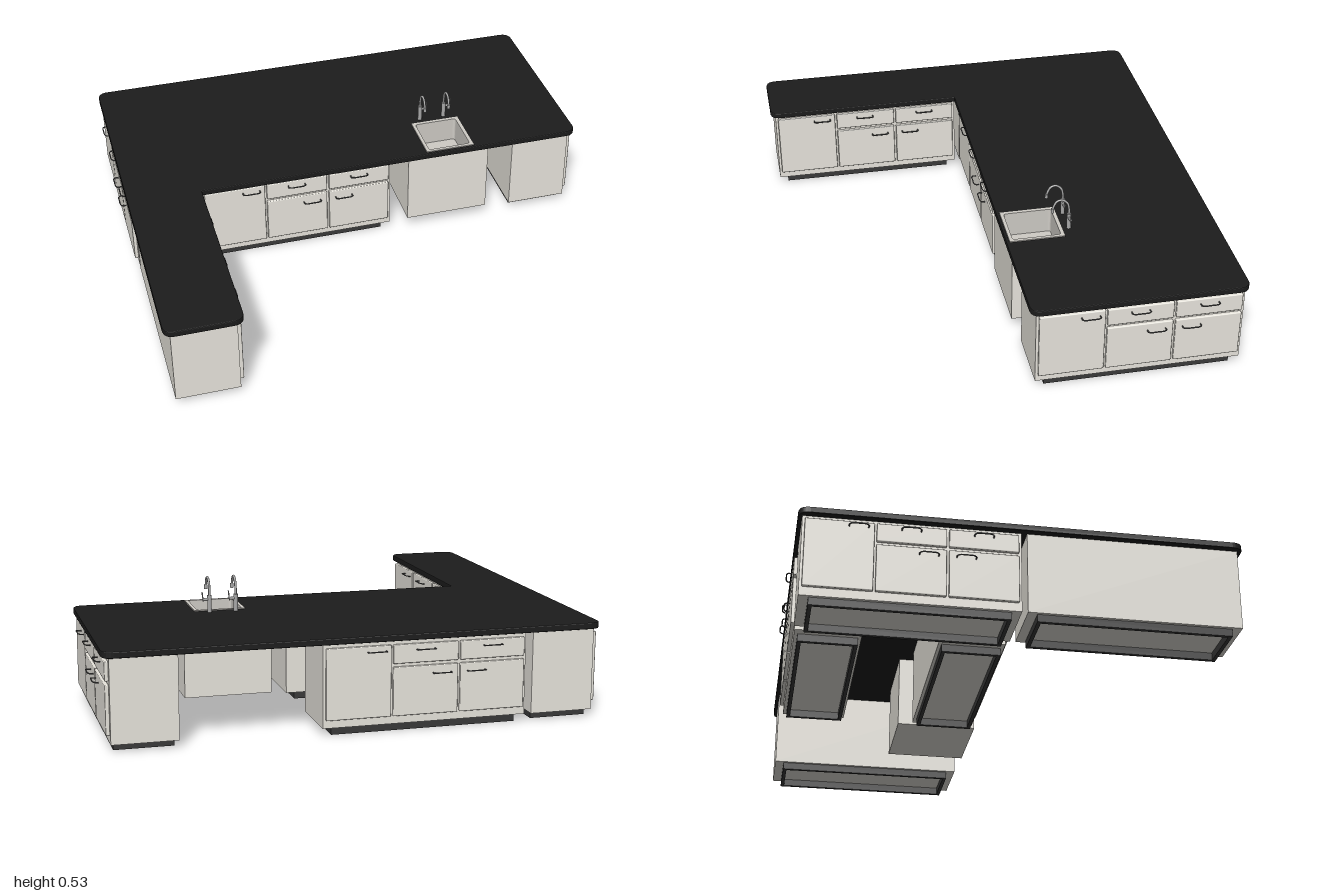
import * as THREE from 'three';
import { RoundedBoxGeometry } from 'three/addons/geometries/RoundedBoxGeometry.js';

const mat = (color) => new THREE.MeshStandardMaterial({ color });
const BODY = mat(0xe9e6de), DARK = mat(0x1c1c1c), KICK = mat(0x3a3a3a);
const METAL = mat(0x555555), CHROME = mat(0xa8a8a8), STEEL = mat(0xcfccc6);

function add(parent, name, geometry, material, x = 0, y = 0, z = 0) {
  const mesh = new THREE.Mesh(geometry, material);
  mesh.name = name;
  mesh.position.set(x, y, z);
  parent.add(mesh);
  return mesh;
}

// Closed outline through [x, z] corners, each rounded by its own radius
function outline(corners, Type = THREE.Shape) {
  const path = new Type();
  const pts = corners.map(([x, z]) => new THREE.Vector2(x, -z));
  const n = pts.length;
  pts.forEach((p, i) => {
    const r = corners[i][2] || 0;
    const toward = (q) => p.clone().add(q.clone().sub(p).setLength(r));
    const a = toward(pts[(i + n - 1) % n]), b = toward(pts[(i + 1) % n]);
    if (i === 0) path.moveTo(a.x, a.y);
    else path.lineTo(a.x, a.y);
    if (r) path.quadraticCurveTo(p.x, p.y, b.x, b.y);
  });
  path.closePath();
  return path;
}

const rect = (x0, x1, z0, z1, r = 0) => [[x0, z0, r], [x0, z1, r], [x1, z1, r], [x1, z0, r]];

// Horizontal slab between two heights
function slab(corners, hole, y0, y1, bevel = 0) {
  const shape = outline(corners);
  if (hole) shape.holes.push(outline(hole, THREE.Path));
  const geo = new THREE.ExtrudeGeometry(shape, {
    depth: y1 - y0 - 2 * bevel, curveSegments: 8, bevelEnabled: bevel > 0,
    bevelSize: bevel, bevelThickness: bevel, bevelOffset: -bevel, bevelSegments: 2,
  });
  return geo.rotateX(-Math.PI / 2).translate(0, y0 + bevel, 0);
}

// Bow handle shared by all doors and drawers
const handleGeo = new THREE.TubeGeometry(new THREE.CatmullRomCurve3([
  [-0.036, -0.002, 0], [-0.036, -0.001, 0.014], [-0.027, 0.0005, 0.021], [0, 0.001, 0.022],
  [0.027, 0.0005, 0.021], [0.036, -0.001, 0.014], [0.036, -0.002, 0],
].map((p) => new THREE.Vector3(...p))), 24, 0.0027, 6);

// Base cabinet: origin at the middle of its front edge, facing +z
const W = 0.825, D = 0.257, DOOR = 0.016;
function cabinet(name, x, z, turn) {
  const g = new THREE.Group();
  g.name = name;
  add(g, 'carcass', new THREE.BoxGeometry(W, 0.33, D), BODY, 0, 0.195, -D / 2);
  // hollow plinth frame
  const k = W / 2 - 0.037;
  add(g, 'toeKick', slab(rect(-k, k, 0.013 - D, -0.013),
    rect(0.015 - k, k - 0.015, 0.028 - D, -0.028), 0, 0.031), KICK);
  // front panels: left, right, bottom, top, handle x, handle y
  [
    ['tallDoor', 0.01, 0.269, 0.063, 0.345, 0.21, 0.325],
    ['drawer', 0.277, 0.54, 0.27, 0.345, 0.406, 0.325],
    ['drawer', 0.549, 0.814, 0.27, 0.345, 0.68, 0.325],
    ['door', 0.277, 0.54, 0.063, 0.257, 0.473, 0.228],
    ['door', 0.549, 0.814, 0.063, 0.257, 0.613, 0.228],
  ].forEach(([part, l, r, b, t, hx, hy]) => {
    add(g, part, new RoundedBoxGeometry(r - l, t - b, DOOR, 1, 0.004), BODY,
      (l + r) / 2 - W / 2, (b + t) / 2, DOOR / 2);
    add(g, 'handle', handleGeo, METAL, hx - W / 2, hy, DOOR);
  });
  g.position.set(x, 0, z);
  g.rotation.y = turn;
  return g;
}

// Gooseneck tap with a side lever
function tap(x, z) {
  const g = new THREE.Group();
  g.name = 'tap';
  const neck = new THREE.CurvePath();
  const V = (y, zz) => new THREE.Vector3(0, y, zz);
  neck.add(new THREE.LineCurve3(V(0, 0), V(0.09, 0)));
  neck.add(new THREE.CatmullRomCurve3([V(0.09, 0), V(0.118, 0.007), V(0.137, 0.03),
    V(0.132, 0.052), V(0.112, 0.064), V(0.088, 0.07)]));
  add(g, 'neck', new THREE.TubeGeometry(neck, 40, 0.005, 8), CHROME);
  add(g, 'spoutTip', new THREE.CylinderGeometry(0.007, 0.007, 0.018, 12), CHROME, 0, 0.092, 0.069);
  add(g, 'base', new THREE.CylinderGeometry(0.009, 0.009, 0.07, 16), CHROME, 0, 0.035, 0);
  add(g, 'leverArm', new THREE.CylinderGeometry(0.006, 0.006, 0.028, 10), CHROME, 0.014, 0.053, 0)
    .rotation.z = Math.PI / 2;
  add(g, 'lever', new THREE.CylinderGeometry(0.0025, 0.0025, 0.04, 8), CHROME, 0.028, 0.065, 0)
    .rotation.z = -0.12;
  g.position.set(x, 0.385, z);
  return g;
}

export function createModel() {
  const model = new THREE.Group();
  model.name = 'kitchenIsland';

  // L-shaped worktop with a cut-out for the sink
  const sink = rect(0.308, 0.52, -0.22, 0.006);
  const R = 0.045;
  add(model, 'worktop', slab([
    [-0.988, -0.845, R], [-0.988, 0.863, R], [-0.678, 0.863, R],
    [-0.678, 0.02], [0.988, 0.02, R], [0.988, -0.845, R],
  ], sink, 0.36, 0.386, 0.004), DARK);

  // Cabinets around the perimeter
  const q = Math.PI / 2;
  model.add(
    cabinet('frontCabinet', -0.263, -0.015, 0),
    cabinet('backCabinet', -0.263, -0.825, 2 * q),
    cabinet('rightEndCabinet', 0.961, -0.417, q),
    cabinet('leftEndCabinet', -0.961, -0.417, -q),
    cabinet('legCabinet', -0.705, 0.43, q),
  );

  // Sink housing under the worktop, open around the basin
  const housing = rect(0.225, 0.586, -0.325, 0.01);
  add(model, 'sinkHousing', slab(housing, sink, 0.06, 0.361), BODY);
  add(model, 'sinkHousingBottom', slab(housing, null, 0.052, 0.06), BODY);

  // Basin: rim, walls, floor and drain
  add(model, 'basinWalls', slab(sink, rect(0.322, 0.506, -0.206, -0.008, 0.012), 0.28, 0.388), STEEL);
  add(model, 'basinFloor', slab(sink, null, 0.272, 0.281), STEEL);
  add(model, 'drainRing', new THREE.TorusGeometry(0.02, 0.003, 8, 24).rotateX(-q), STEEL, 0.414, 0.282, -0.112);
  add(model, 'drain', new THREE.CylinderGeometry(0.012, 0.012, 0.004, 20), STEEL, 0.414, 0.282, -0.112);

  model.add(tap(0.355, -0.248), tap(0.464, -0.248));
  return model;
}
